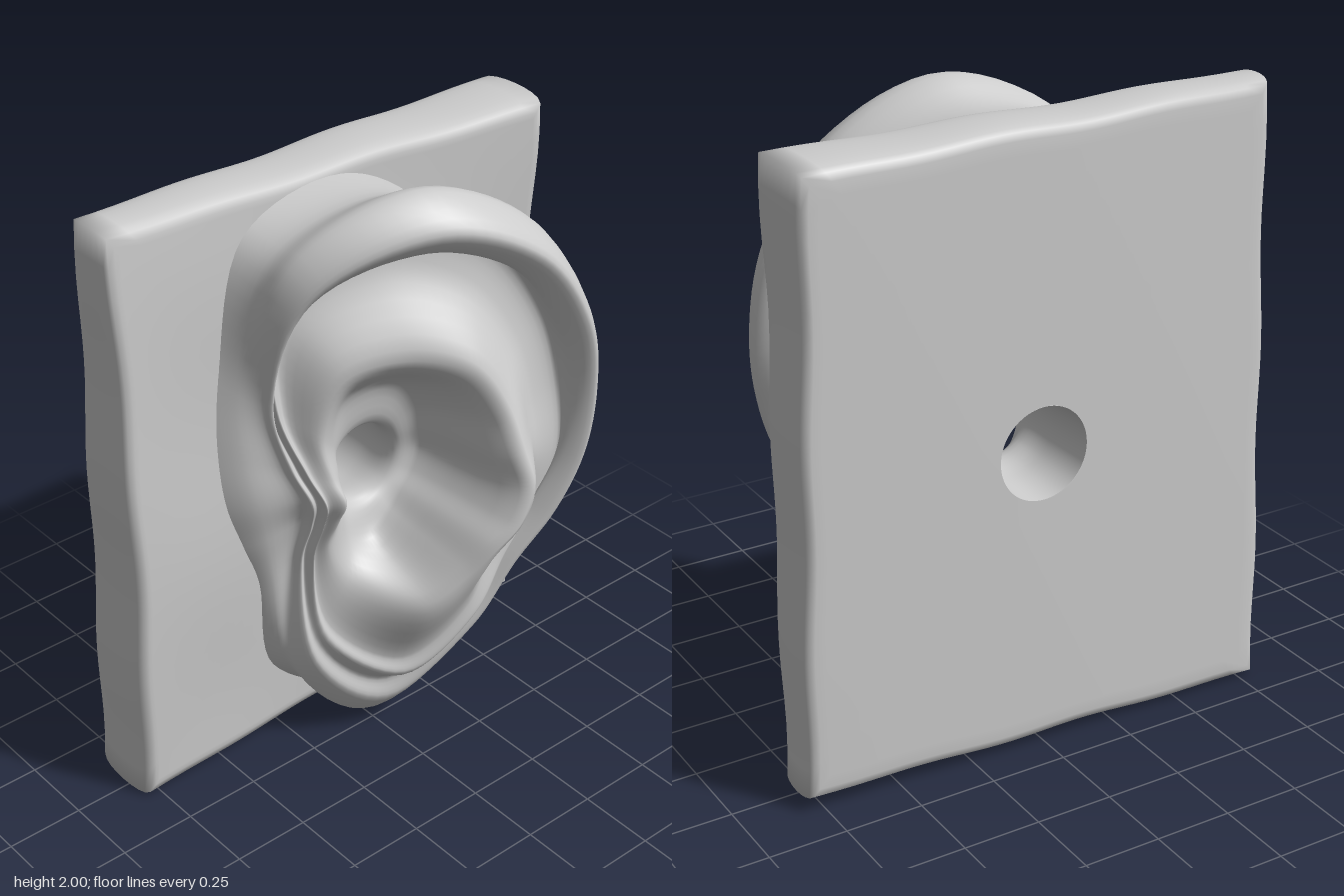
import * as THREE from 'three';

const COLS = 128;
const CY = 0.98; // height of the ear canal axis
const { lerp, smoothstep } = THREE.MathUtils;

// Smooth closed surface of rings; point(u, j) gives the vertex on row j
function loft(name, rows, point) {
  const pos = [], idx = [];
  for (let j = 0; j < rows; j++) {
    for (let i = 0; i < COLS; i++) pos.push(...point(i / COLS, j).toArray());
  }
  for (let j = 0; j < rows - 1; j++) {
    for (let i = 0; i < COLS; i++) {
      const k = (i + 1) % COLS;
      const a = j * COLS + i, b = a + COLS, c = (j + 1) * COLS + k, d = j * COLS + k;
      idx.push(a, b, c, a, c, d);
    }
  }
  const geo = new THREE.BufferGeometry();
  geo.setAttribute('position', new THREE.Float32BufferAttribute(pos, 3));
  geo.setIndex(idx);
  geo.computeVertexNormals();
  const mesh = new THREE.Mesh(geo, new THREE.MeshStandardMaterial({ color: 0xcccccc, side: THREE.DoubleSide }));
  mesh.name = name;
  return mesh;
}

function makeEar() {
  // sixteen directions from +x: outer contour, rim height, inner ridge radius, ridge height
  const outer = [.605, .68, .79, .93, 1.02, .91, .55, .36, .28, .28, .38, .72, .95, .75, .59, .57];
  const rim = [.36, .38, .40, .38, .30, .12, -.02, 0, .03, 0, -.04, .02, .07, .19, .26, .32];
  const inner = [.29, .30, .36, .43, .46, .46, .33, .22, .18, .20, .27, .36, .38, .30, .26, .27];
  const ridge = [.40, .36, .30, .25, .16, .08, .04, .06, .09, .06, .02, .06, .24, .32, .37, .40];

  // closed ring around the canal; rule gives [radius, depth]
  const ring = rule => new THREE.CatmullRomCurve3(outer.map((R, i) => {
    const t = i * Math.PI / 8, c = Math.cos(t), s = Math.sin(t);
    const C = inner[i], H = ridge[i], Z = rim[i];
    // how far the rim curls over its groove: none at the lobe and the tragus
    const curl = .36 * smoothstep(s, -1, -.5) * smoothstep(R - C, .1, .3);
    const groove = lerp(H, Z, .55) - curl * (R - C);
    const [r, z] = rule({ R, C, H, Z, c, s, curl, groove });
    return new THREE.Vector3(r * c, CY + r * s, z);
  }), true);

  const rings = [
    // canal tunnel, back to mouth
    ring(() => [.15, -.37]),
    ring(() => [.138, -.2]),
    ring(() => [.134, -.06]),
    // bowl floor, then the ridge around it
    ring(({ C }) => [Math.max(.15, C * .66), 0]),
    ring(({ C, H }) => [C, H]),
    // groove and hollow under the rim
    ring(({ R, C, groove }) => [lerp(C, R, .45), groove]),
    ring(({ R, C, curl, groove }) => [lerp(C, R, .56 + .5 * curl), groove + .01]),
    // curled lip, rim crest and outermost contour
    ring(({ R, C, Z, curl }) => [lerp(C, R, .68), Z - .2 * curl]),
    ring(({ R, C, Z }) => [lerp(C, R, .83), Z]),
    ring(({ R, Z, s }) => [R, lerp(Z, -.12, .28 + .25 * Math.max(0, -s))]),
    // back of the shell, then the root sunk into the plate
    ring(({ R, Z, c }) => [R * .93 - .15 * c, lerp(Z, -.15, .6)]),
    ring(({ R, c }) => [R * .94 - .13 * c + .15 * Math.max(0, -c), -.21]),
  ];
  const rows = (rings.length - 1) * 6 + 1;
  const profiles = Array.from({ length: COLS }, (_, i) =>
    new THREE.CatmullRomCurve3(rings.map(r => r.getPoint(i / COLS))));
  return loft('ear', rows, (u, j) => profiles[Math.round(u * COLS)].getPoint(j / (rows - 1)));
}

function makePlate() {
  // value blended between corners: bottom left, bottom right, top left, top right
  const blend = (a, b, bl, br, tl, tr) =>
    lerp(lerp(bl, br, (a + 1) / 2), lerp(tl, tr, (a + 1) / 2), (b + 1) / 2);

  // [distance from hole to border, depth from front to back]: front, rounded edge, back
  const profile = [];
  for (let i = 0; i <= 10; i++) profile.push([lerp(.12, .93, i / 10), 0]);
  for (let i = 0; i <= 10; i++) {
    const t = i * Math.PI / 10;
    profile.push([.95 + .05 * Math.sqrt(Math.max(0, Math.sin(t))), (1 - Math.cos(t)) / 2]);
  }
  for (let i = 9; i >= 0; i--) profile.push([i / 10, 1]);

  return loft('backPlate', profile.length, (u, j) => {
    const [s, depth] = profile[j];
    const c = Math.cos(u * 2 * Math.PI), n = Math.sin(u * 2 * Math.PI);
    const m = Math.max(Math.abs(c), Math.abs(n));
    const a = c / m, b = n / m;
    // slightly irregular border
    const ex = blend(a, b, -.81, .81, -.8, .765) + .006 * Math.sin(9 * b) * a;
    const ey = blend(a, b, .005, .045, 1.99, 1.965) + .006 * Math.sin(8 * a) * b * (1 - a * a);
    const x = lerp(.15 * c, ex, s);
    const y = lerp(CY + .15 * n, ey, s);
    // leaning, slightly twisted faces; the front swells on the right-hand side of the model
    const p = x / .8, q = y - 1;
    const swell = .02 * (1 - q * q) * (1 - p);
    const front = blend(p, q, -.15, -.2, -.18, -.09) + swell + .006 * Math.sin(5 * x + 1) * Math.sin(6 * y);
    const back = blend(p, q, -.41, -.38, -.335, -.36);
    return new THREE.Vector3(x, y, lerp(front, back, depth));
  });
}

export function createModel() {
  const model = new THREE.Group();
  model.name = 'earOnPlate';
  model.add(makePlate(), makeEar());
  return model;
}
